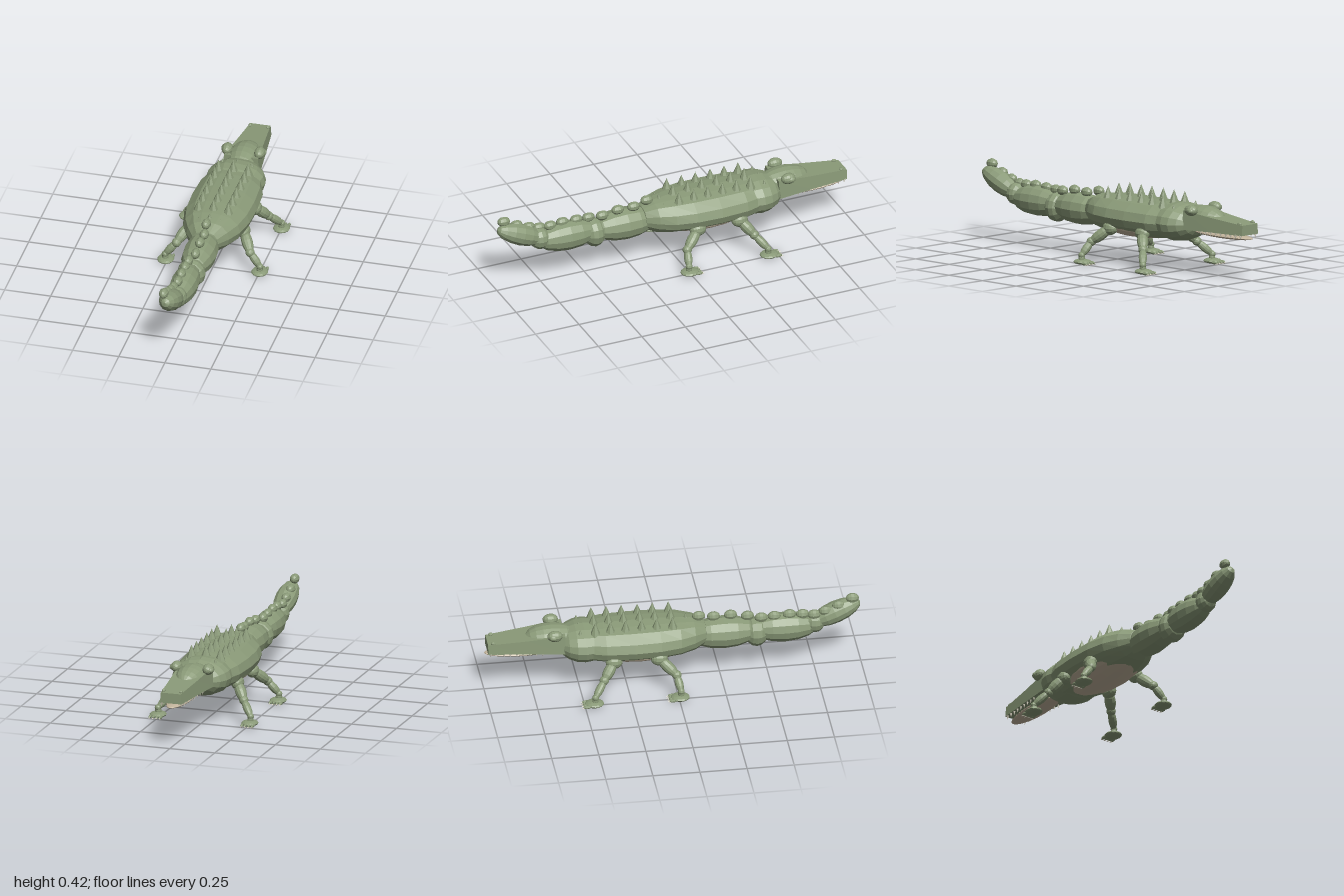
import * as THREE from 'three';

const mat = (name, color) => {
  const m = new THREE.MeshStandardMaterial({ color, flatShading: true });
  m.name = name;
  return m;
};

export function createModel() {
  const model = new THREE.Group();
  model.name = 'crocodile';
  const green = mat('hide green', 0x8a9a78);
  const tan = mat('belly tan', 0xc2b49c);
  const bone = mat('tooth ivory', 0xeee8d5);

  const add = (name, geo, material, parent = model) => {
    const mesh = new THREE.Mesh(geo, material);
    mesh.name = name;
    parent.add(mesh);
    return mesh;
  };

  // Ellipsoid with its poles along z
  const blob = (name, p, r, material = green, parent = model, ws = 12, hs = 8) => {
    const geo = new THREE.SphereGeometry(1, ws, hs).rotateX(Math.PI / 2).scale(...r);
    const mesh = add(name, geo, material, parent);
    mesh.position.set(...p);
    return mesh;
  };

  // Ellipsoid stretched between two points
  const limb = (name, a, b, radius, parent = model, over = 1.15) => {
    const A = new THREE.Vector3(...a), B = new THREE.Vector3(...b);
    const mid = A.clone().add(B).multiplyScalar(0.5);
    const mesh = blob(name, mid.toArray(), [radius, radius, A.distanceTo(B) / 2 * over], green, parent);
    mesh.quaternion.setFromUnitVectors(new THREE.Vector3(0, 0, 1), B.sub(A).normalize());
    return mesh;
  };

  // Skin over rings of points, ordered by growing z, each counter-clockwise
  const loft = (rings) => {
    const n = rings[0].length, index = [];
    for (let i = 0; i < rings.length - 1; i++) {
      for (let j = 0; j < n; j++) {
        const a = i * n + j, b = i * n + (j + 1) % n;
        index.push(a, b, b + n, a, b + n, a + n);
      }
    }
    const geo = new THREE.BufferGeometry();
    geo.setAttribute('position', new THREE.Float32BufferAttribute(rings.flat(2), 3));
    geo.setIndex(index);
    const flat = geo.toNonIndexed();
    flat.computeVertexNormals();
    return flat;
  };

  // Trunk: one angular section scaled along the back
  const half = [[0.09, -0.088], [0.14, -0.062], [0.168, -0.04], [0.183, 0], [0.168, 0.046], [0.118, 0.086], [0.06, 0.098]];
  const section = [...half, [0, 0.103], ...half.slice().reverse().map(([x, y]) => [-x, y]), [0, -0.092]];
  const stations = [[-0.56, 0, 0], [-0.54, 0.5, 0.7], [-0.46, 0.8, 0.9], [-0.37, 0.95, 0.98], [-0.22, 1, 1],
    [-0.08, 0.97, 1], [0.03, 0.85, 0.96], [0.11, 0.64, 0.86], [0.17, 0.4, 0.6], [0.19, 0, 0]];
  add('trunk', loft(stations.map(([z, sx, sy]) => section.map(([x, y]) => [x * sx, 0.255 + y * sy, z]))), green);
  blob('chest', [0, 0.26, -0.475], [0.16, 0.103, 0.145], green, model, 16, 10);
  blob('belly', [0, 0.214, -0.18], [0.152, 0.07, 0.3], tan, model, 18, 12);

  // Back spikes in three columns
  const rows = [-0.5, -0.42, -0.34, -0.26, -0.175, -0.095, -0.01, 0.07];
  rows.forEach((z, i) => {
    const end = i === 0 || i === rows.length - 1;
    const h = end ? 0.04 : 0.075, r = end ? 0.017 : 0.03;
    for (const x of [-0.08, 0, 0.08]) {
      const base = (x ? 0.33 : 0.338) - (end ? 0.005 : 0) - (i === 7 && x ? 0.02 : 0);
      const spike = add('backSpike', new THREE.ConeGeometry(r, h, 7), green);
      spike.position.set(x * (i === 7 ? 0.75 : 1), base + h / 2, z);
    }
  });

  // Tail: three long segments with round joints
  blob('tailBase', [0, 0.242, 0.27], [0.09, 0.086, 0.19]);
  blob('tailJoint', [0, 0.23, 0.445], [0.076, 0.08, 0.065]);
  blob('tailMiddle', [0, 0.245, 0.595], [0.074, 0.08, 0.18]);
  blob('tailJoint', [0, 0.264, 0.755], [0.056, 0.06, 0.055]);
  blob('tailTip', [0, 0.312, 0.866], [0.059, 0.058, 0.142]).rotation.x = -0.4;

  // Rounded knobs along the tail ridge: x, y, z
  [[0, 0.35, 0.14], [0.01, 0.335, 0.22], [0.01, 0.337, 0.31], [0.01, 0.323, 0.4], [-0.01, 0.318, 0.47],
    [-0.01, 0.321, 0.54], [-0.01, 0.325, 0.62], [-0.01, 0.32, 0.69], [-0.02, 0.318, 0.75],
    [-0.02, 0.335, 0.81], [-0.02, 0.362, 0.88], [-0.018, 0.4, 0.953]].forEach((p) => {
    blob('tailKnob', p, [0.025, 0.027, 0.035], green, model, 9, 7);
  });

  // Head: domed skull and tapered snout
  blob('skull', [0, 0.298, -0.645], [0.085, 0.068, 0.14], green, model, 16, 10);
  const snoutRing = (z, w, y0, y1) => [[w, y0, z], [w * 0.92, y1, z], [-w * 0.92, y1, z], [-w, y0, z]];
  add('snout', loft([
    snoutRing(-0.985, 0, 0.27, 0.27), snoutRing(-0.985, 0.06, 0.245, 0.3), snoutRing(-0.78, 0.08, 0.243, 0.318),
    snoutRing(-0.58, 0.1, 0.238, 0.34), snoutRing(-0.58, 0, 0.29, 0.29),
  ]), green);
  blob('lowerJaw', [0, 0.224, -0.79], [0.058, 0.016, 0.21], tan, model, 14, 10);

  for (const s of [-1, 1]) {
    // Eyes with a small inner ball, and nostrils
    blob('eye', [s * 0.088, 0.345, -0.635], [0.03, 0.03, 0.041]);
    blob('eyeFront', [s * 0.104, 0.344, -0.645], [0.018, 0.017, 0.023]);
    blob('nostril', [s * 0.048, 0.305, -0.957], [0.01, 0.01, 0.013], green, model, 8, 6);

    // Teeth along the upper jaw
    for (let i = 0; i < 9; i++) {
      const z = -0.97 + i * 0.034;
      const tooth = add('tooth', new THREE.ConeGeometry(0.008, 0.026, 6).rotateX(Math.PI), bone);
      tooth.position.set(s * (0.055 + i * 0.0029), 0.236, z);
    }

    // Legs: shared shape, hips and feet offset along z
    for (const [name, hipZ, kneeZ, footZ] of [['frontLeg', -0.33, -0.39, -0.445], ['hindLeg', -0.09, -0.005, 0.01]]) {
      const leg = new THREE.Group();
      leg.name = name;
      model.add(leg);
      const hip = [s * 0.145, 0.195, hipZ], knee = [s * 0.2, 0.12, kneeZ], ankle = [s * 0.257, 0.052, footZ];
      blob('hip', hip, [0.034, 0.037, 0.045], green, leg);
      limb('upperLeg', hip, knee, 0.03, leg);
      blob('knee', knee, [0.025, 0.025, 0.025], green, leg);
      limb('lowerLeg', knee, ankle, 0.022, leg);
      blob('ankle', ankle, [0.018, 0.018, 0.018], green, leg, 10, 7);
      limb('heel', ankle, [s * 0.255, 0.018, footZ], 0.017, leg, 1.3);
      blob('foot', [s * 0.255, 0.018, footZ - 0.005], [0.045, 0.015, 0.05], green, leg);
      // Toes and claws
      for (let i = 0; i < 4; i++) {
        const dx = (i - 1.5) * 0.019, x = s * 0.255 + dx;
        blob('toe', [x, 0.014, footZ - 0.046], [0.009, 0.009, 0.022], green, leg, 8, 6);
        const claw = add('claw', new THREE.ConeGeometry(0.006, 0.022, 6).rotateX(-Math.PI / 2), bone, leg);
        claw.position.set(x, 0.01, footZ - 0.068);
      }
    }
  }
  return model;
}
